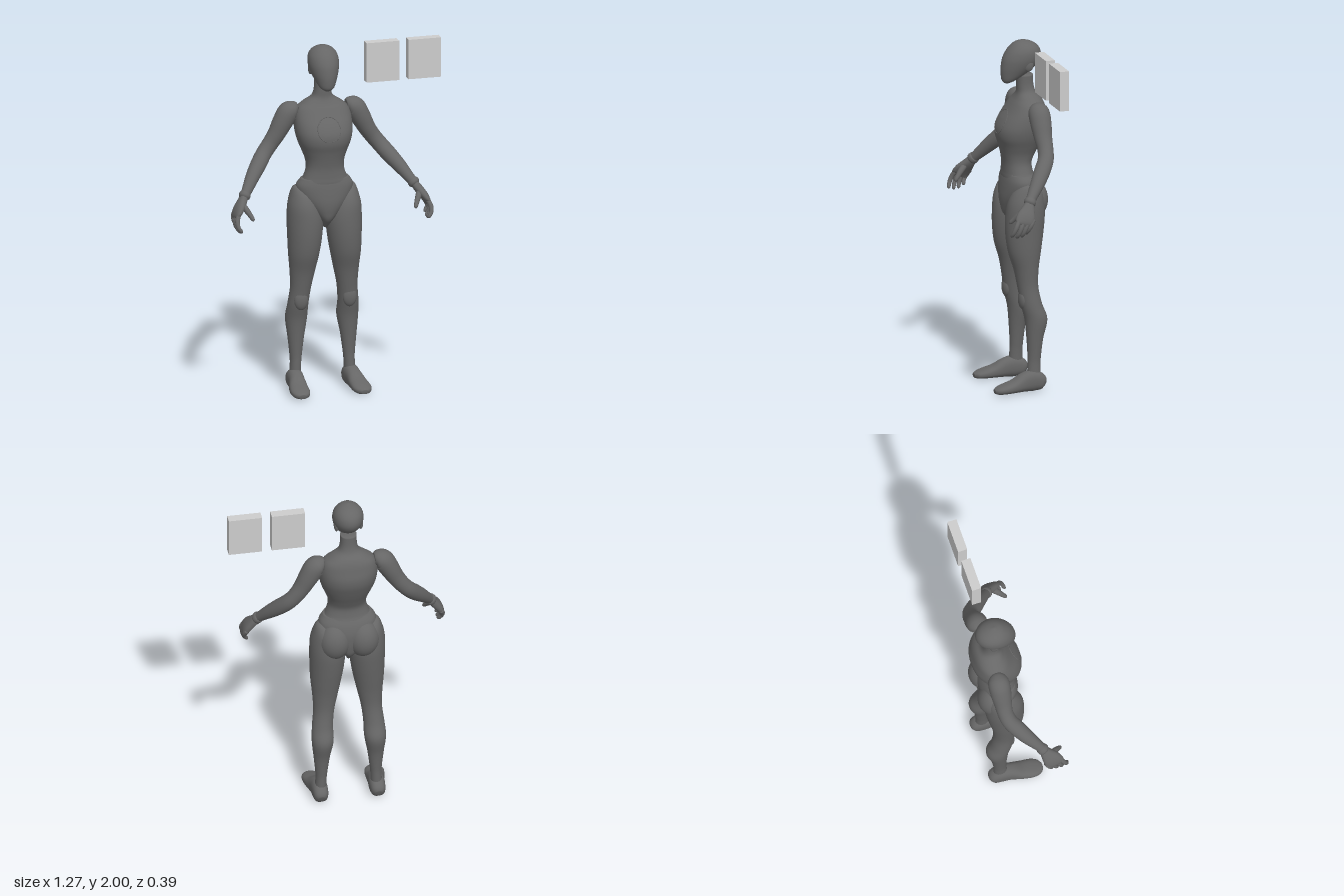
import * as THREE from 'three';

const bodyGrey = new THREE.MeshStandardMaterial({ color: 0x666666 });
bodyGrey.name = 'bodyGrey';
const panelGrey = new THREE.MeshStandardMaterial({ color: 0xcccccc });
panelGrey.name = 'panelGrey';

// Catmull-Rom smoothing of a table of cross-sections
function smooth(rows, steps = 5) {
  const out = [];
  const at = (i) => rows[Math.min(Math.max(i, 0), rows.length - 1)];
  for (let i = 0; i < rows.length - 1; i++) {
    for (let s = 0; s < steps; s++) {
      const t = s / steps;
      out.push(rows[i].map((b, k) => {
        const a = at(i - 1)[k], c = at(i + 1)[k], d = at(i + 2)[k];
        return b + 0.5 * t * (c - a + t * (2 * a - 5 * b + 4 * c - d + t * (3 * (b - c) + d - a)));
      }));
    }
  }
  out.push(rows[rows.length - 1]);
  return out;
}

// Closed skin over rings of points, capped at both ends
function skin(rings) {
  const n = rings[0].length, pos = [], index = [];
  rings.forEach((r) => r.forEach((p) => pos.push(p.x, p.y, p.z)));
  for (let i = 0; i < rings.length - 1; i++) {
    for (let j = 0; j < n; j++) {
      const a = i * n + j, b = i * n + (j + 1) % n;
      index.push(a, a + n, b, b, a + n, b + n);
    }
  }
  [0, rings.length - 1].forEach((ri, end) => {
    const c = new THREE.Vector3();
    rings[ri].forEach((p) => c.addScaledVector(p, 1 / n));
    const ci = pos.length / 3;
    pos.push(c.x, c.y, c.z);
    for (let j = 0; j < n; j++) {
      const a = ri * n + j, b = ri * n + (j + 1) % n;
      if (end) index.push(ci, b, a); else index.push(ci, a, b);
    }
  });
  const g = new THREE.BufferGeometry();
  g.setAttribute('position', new THREE.Float32BufferAttribute(pos, 3));
  g.setIndex(index);
  g.computeVertexNormals();
  return g;
}

// Unit superellipse
const power = (v, e) => Math.sign(v) * Math.abs(v) ** (2 / e);
const ring = (n, e, fn) => Array.from({ length: n }, (_, j) => {
  const a = (j / n) * Math.PI * 2;
  return fn(power(Math.cos(a), e), power(Math.sin(a), e));
});

// Upright form: rows are [y, x0, x1, zFront, zBack], bottom to top
const upright = (rows, e = 2, n = 40) => skin(smooth(rows).map(([y, x0, x1, zf, zb]) =>
  ring(n, e, (u, v) => new THREE.Vector3(
    (x0 + x1) / 2 + u * (x1 - x0) / 2, y, (zf + zb) / 2 + v * (zf - zb) / 2))));
// Symmetric upright form: rows are [y, halfWidth, zFront, zBack]
const mirrored = (rows) => rows.map(([y, h, zf, zb]) => [y, -h, h, zf, zb]);

// Limb along a path: rows are [x, y, z, radius along ref, radius across]
function limb(rows, ref, e = 2, n = 24, steps = 5) {
  const s = smooth(rows, steps);
  const pts = s.map((r) => new THREE.Vector3(r[0], r[1], r[2]));
  return skin(s.map((r, i) => {
    const t = pts[Math.min(i + 1, s.length - 1)].clone().sub(pts[Math.max(i - 1, 0)]).normalize();
    const u = ref.clone().addScaledVector(t, -ref.dot(t)).normalize();
    const v = u.clone().cross(t);
    return ring(n, e, (a, b) => pts[i].clone().addScaledVector(u, a * r[3]).addScaledVector(v, b * r[4]));
  }));
}

const X = new THREE.Vector3(1, 0, 0), Z = new THREE.Vector3(0, 0, 1);

const ellipsoid = (x, y, z, rx, ry, rz) =>
  new THREE.SphereGeometry(1, 28, 20).scale(rx, ry, rz).translate(x, y, z);

function flip(geo) {
  const g = geo.clone().scale(-1, 1, 1), ix = g.index;
  for (let i = 0; i < ix.count; i += 3) {
    const a = ix.getX(i);
    ix.setX(i, ix.getX(i + 1));
    ix.setX(i + 1, a);
  }
  return g;
}

export function createModel() {
  const model = new THREE.Group();
  const body = new THREE.Group();
  body.name = 'body';
  body.position.x = -0.057;
  model.add(body);

  const add = (name, geo, mat = bodyGrey, parent = body) => {
    const m = new THREE.Mesh(geo, mat);
    m.name = name;
    parent.add(m);
    return m;
  };
  const pair = (name, geo) => {
    add('left' + name, geo);
    add('right' + name, flip(geo));
  };

  // Head with a pointed chin, and ear discs
  add('head', upright(mirrored([
    [1.757, 0.018, 0.042, 0.01], [1.775, 0.042, 0.056, -0.03], [1.82, 0.065, 0.061, -0.105],
    [1.86, 0.08, 0.058, -0.15], [1.9, 0.087, 0.049, -0.171], [1.94, 0.083, 0.028, -0.168],
    [1.97, 0.066, 0.002, -0.147], [1.99, 0.038, -0.025, -0.112], [2.0, 0.004, -0.06, -0.07]])));
  pair('Ear', ellipsoid(0.069, 1.865, -0.08, 0.014, 0.036, 0.028));

  // Torso from waist to neck
  const torsoRows = [
    [1.18, 0.15, 0.05, -0.13], [1.22, 0.138, 0.052, -0.125], [1.25, 0.123, 0.05, -0.115],
    [1.3, 0.108, 0.05, -0.11], [1.35, 0.112, 0.058, -0.13], [1.4, 0.13, 0.07, -0.155],
    [1.45, 0.15, 0.085, -0.177], [1.5, 0.162, 0.084, -0.195], [1.55, 0.165, 0.062, -0.2],
    [1.6, 0.16, 0.027, -0.191], [1.64, 0.143, 0, -0.181], [1.67, 0.105, -0.02, -0.166],
    [1.7, 0.062, -0.032, -0.14], [1.74, 0.048, -0.033, -0.128], [1.8, 0.046, -0.033, -0.125]];
  add('torso', upright(mirrored(torsoRows), 2.25, 48));

  // Round chest seam laid on the torso surface
  const fine = smooth(torsoRows);
  const chestZ = (x, y) => {
    const i = fine.findIndex((r) => r[0] > y), a = fine[i - 1], b = fine[i];
    const t = (y - a[0]) / (b[0] - a[0]);
    const [, h, zf, zb] = a.map((v, k) => v + (b[k] - v) * t);
    return (zf + zb) / 2 + (zf - zb) / 2 * (1 - Math.abs(x / h) ** 2.25) ** (1 / 2.25);
  };
  const seam = Array.from({ length: 32 }, (_, i) => {
    const a = (i / 32) * Math.PI * 2, x = 0.066 * Math.cos(a), y = 1.535 + 0.066 * Math.sin(a);
    return new THREE.Vector3(x, y, chestZ(x, y));
  });
  add('chestRing', new THREE.TubeGeometry(new THREE.CatmullRomCurve3(seam, true), 64, 0.0025, 6, true));

  // Pelvis and glutes
  add('pelvis', upright(mirrored([
    [0.95, 0.012, 0.0, -0.09], [1.0, 0.045, 0.048, -0.135], [1.05, 0.09, 0.062, -0.15],
    [1.1, 0.13, 0.066, -0.155], [1.15, 0.158, 0.062, -0.153], [1.2, 0.163, 0.055, -0.138],
    [1.24, 0.137, 0.047, -0.115]]), 2.2));
  pair('Glute', ellipsoid(0.082, 1.09, -0.095, 0.092, 0.115, 0.09));

  // Legs: [y, inner x, outer x, zFront, zBack]
  pair('Leg', upright([
    [0.07, 0.128, 0.192, -0.04, -0.12], [0.15, 0.125, 0.188, -0.044, -0.119],
    [0.2, 0.12, 0.19, -0.045, -0.122], [0.3, 0.107, 0.2, -0.04, -0.135],
    [0.41, 0.088, 0.211, -0.03, -0.16], [0.5, 0.087, 0.205, -0.008, -0.13],
    [0.6, 0.076, 0.195, 0.008, -0.111], [0.7, 0.055, 0.2, 0.027, -0.115],
    [0.8, 0.034, 0.209, 0.057, -0.13], [0.9, 0.018, 0.213, 0.07, -0.145],
    [1.0, 0.012, 0.215, 0.07, -0.155], [1.08, 0.03, 0.211, 0.06, -0.15],
    [1.14, 0.06, 0.197, 0.035, -0.14], [1.18, 0.098, 0.182, 0, -0.11],
    [1.195, 0.125, 0.165, -0.03, -0.08]]));
  pair('Kneecap', ellipsoid(0.142, 0.53, -0.018, 0.04, 0.058, 0.024));

  // Feet, flattened at the sole
  const foot = limb([
    [0.163, 0.038, -0.143, 0.02, 0.02], [0.163, 0.045, -0.125, 0.039, 0.044],
    [0.163, 0.058, -0.075, 0.046, 0.06], [0.167, 0.052, -0.02, 0.046, 0.054],
    [0.174, 0.036, 0.04, 0.053, 0.037], [0.179, 0.026, 0.1, 0.055, 0.027],
    [0.181, 0.019, 0.14, 0.042, 0.02], [0.181, 0.016, 0.16, 0.018, 0.012]], X, 2.4, 32);
  const fp = foot.attributes.position;
  for (let i = 0; i < fp.count; i++) fp.setY(i, Math.max(fp.getY(i), 0));
  foot.computeVertexNormals();
  pair('Foot', foot);

  // Arms from shoulder to wrist
  pair('Arm', limb([
    [0.145, 1.625, -0.1, 0.035, 0.035], [0.165, 1.625, -0.1, 0.054, 0.05],
    [0.195, 1.61, -0.1, 0.061, 0.06], [0.228, 1.555, -0.1, 0.059, 0.057],
    [0.263, 1.49, -0.1, 0.051, 0.05], [0.3, 1.435, -0.1, 0.045, 0.046],
    [0.34, 1.385, -0.088, 0.045, 0.045], [0.382, 1.333, -0.053, 0.046, 0.045],
    [0.43, 1.275, -0.008, 0.04, 0.039], [0.475, 1.215, 0.04, 0.03, 0.03],
    [0.498, 1.185, 0.063, 0.026, 0.026]], Z, 2, 28));

  // Wrist cuffs, palms, fingers and thumbs
  pair('Wrist', limb([
    [0.482, 1.206, 0.047, 0.024, 0.024], [0.488, 1.199, 0.052, 0.033, 0.032],
    [0.498, 1.186, 0.062, 0.033, 0.032], [0.504, 1.178, 0.068, 0.023, 0.022]], Z));
  pair('Palm', limb([
    [0.495, 1.19, 0.06, 0.024, 0.022], [0.515, 1.16, 0.075, 0.037, 0.025],
    [0.54, 1.125, 0.095, 0.052, 0.024], [0.556, 1.095, 0.11, 0.054, 0.019],
    [0.56, 1.078, 0.118, 0.045, 0.012]], Z, 2.3));
  for (let f = 0; f < 4; f++) {
    const z = 0.152 - 0.029 * f, drop = [0, 0.008, 0.004, -0.012][f];
    pair('Finger' + (f + 1), limb([
      [0.553, 1.105, z - 0.008, 0.013, 0.013], [0.565, 1.075 - drop / 2, z + 0.008, 0.0135, 0.0135],
      [0.563, 1.043 - drop, z + 0.022, 0.012, 0.012], [0.55, 1.022 - drop, z + 0.03, 0.0105, 0.0105],
      [0.543, 1.014 - drop, z + 0.032, 0.005, 0.005]], Z, 2, 12, 3));
  }
  pair('Thumb', limb([
    [0.52, 1.155, 0.09, 0.017, 0.017], [0.503, 1.128, 0.122, 0.018, 0.017],
    [0.486, 1.1, 0.148, 0.014, 0.014], [0.476, 1.08, 0.165, 0.011, 0.011],
    [0.473, 1.072, 0.17, 0.005, 0.005]], Z, 2, 12, 3));

  // Two panels floating beside the head
  [0.29, 0.535].forEach((x, i) => {
    add('floatingPanel' + (i + 1), new THREE.BoxGeometry(0.19, 0.23, 0.054), panelGrey, model)
      .position.set(x, 1.875, -0.081);
  });

  return model;
}
